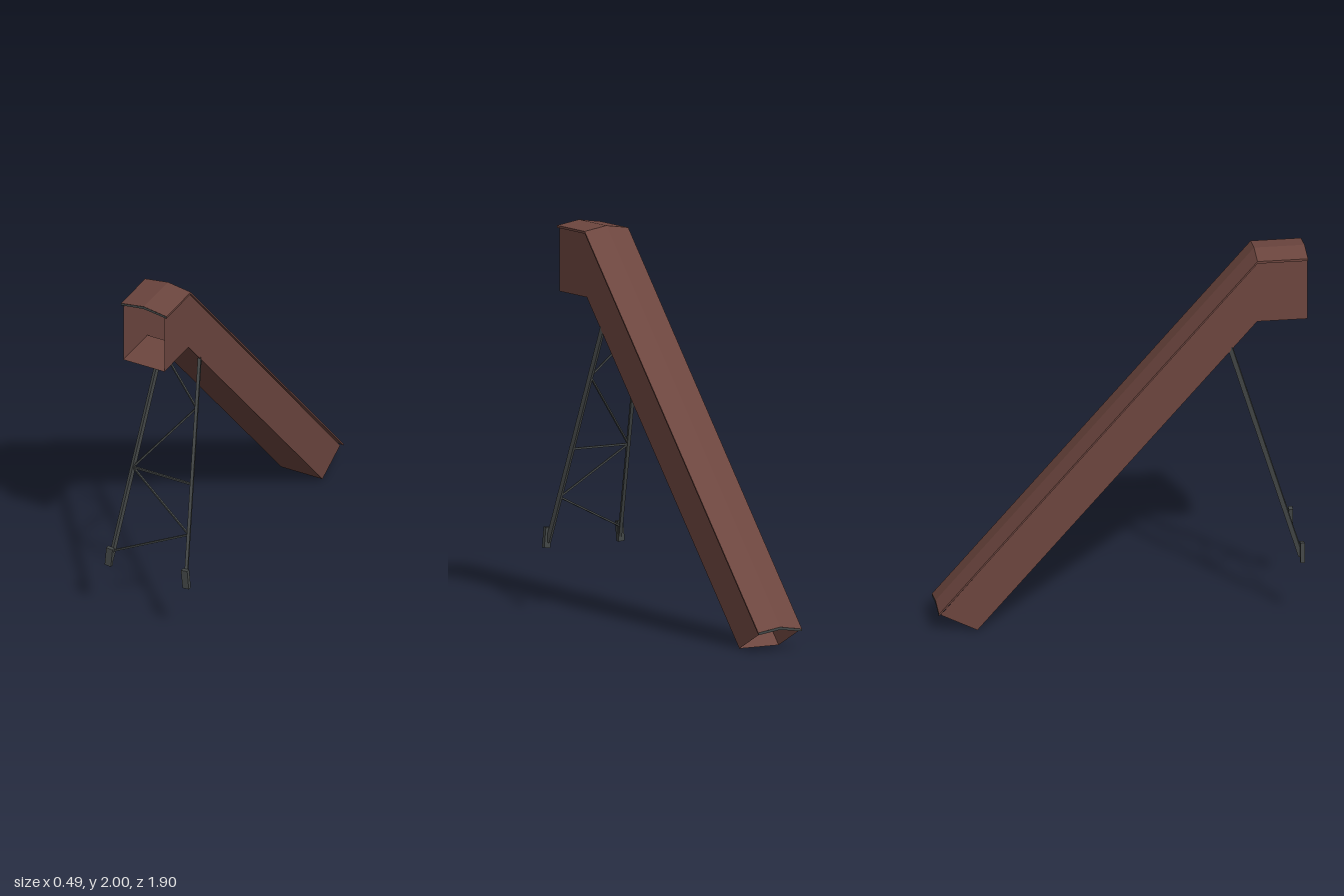
import * as THREE from 'three';

const brown = new THREE.MeshStandardMaterial({ color: 0x6d463f, side: THREE.DoubleSide, flatShading: true });
brown.name = 'rust brown cladding';
const steel = new THREE.MeshStandardMaterial({ color: 0x434747, side: THREE.DoubleSide, flatShading: true });
steel.name = 'dark grey steel';

// Sheet joining successive sections, each a list of [x, y, z]
function loft(sections) {
  const pos = [], index = [], n = sections[0].length;
  sections.forEach(s => s.forEach(p => pos.push(...p)));
  for (let i = 0; i < sections.length - 1; i++) {
    for (let j = 0; j < n - 1; j++) {
      const a = i * n + j, b = a + 1, c = a + n, d = c + 1;
      index.push(a, c, b, b, c, d);
    }
  }
  const g = new THREE.BufferGeometry();
  g.setAttribute('position', new THREE.Float32BufferAttribute(pos, 3));
  g.setIndex(index);
  const flat = g.toNonIndexed();
  flat.computeVertexNormals();
  return flat;
}

function add(parent, name, geometry, material) {
  const m = new THREE.Mesh(geometry, material);
  m.name = name;
  parent.add(m);
  return m;
}

// Square bar from a to b
function bar(parent, name, a, b, w, d = w) {
  const m = add(parent, name, new THREE.BoxGeometry(w, d, a.distanceTo(b)), steel);
  m.position.copy(a).lerp(b, 0.5);
  m.lookAt(b);
  return m;
}

export function createModel() {
  const model = new THREE.Group();
  model.name = 'inclinedGallery';

  // Hollow gallery, open at both ends
  const gallery = new THREE.Group();
  gallery.name = 'gallery';
  model.add(gallery);
  const W = 0.119;
  const profile = [[0.95, 1.64], [0.69, 1.64], [-0.75, 0.004], [-0.94, 0.1], [0.69, 1.97], [0.95, 1.97]];
  const wallShape = new THREE.Shape(profile.map(([z, y]) => new THREE.Vector2(-z, y)));
  for (const s of [-1, 1]) {
    const wall = add(gallery, s > 0 ? 'leftWall' : 'rightWall', new THREE.ShapeGeometry(wallShape), brown);
    wall.rotation.y = Math.PI / 2;
    wall.position.x = s * W;
  }
  add(gallery, 'floor', loft(profile.slice(0, 3).map(([z, y]) => [[-W, y, z], [W, y, z]])), brown);

  // Shallow gabled roof following the bend
  const E = 0.132;
  const section = [[-E, -0.032], [-E, -0.02], [0, 0], [E, -0.02], [E, -0.032], [0, -0.014], [-E, -0.032]];
  const spine = [[0.95, 2], [0.69, 2], [-0.95, 0.13]];
  add(gallery, 'roof', loft(spine.map(([z, y]) => section.map(([x, dy]) => [x, y + dy, z]))), brown);

  // Grey trim on the roof ends
  const trim = new THREE.Shape(section.slice(0, 6).map(p => new THREE.Vector2(...p)));
  const front = add(gallery, 'frontRoofTrim', new THREE.ShapeGeometry(trim), steel);
  front.position.set(0, 2, 0.9505);
  const back = add(gallery, 'backRoofTrim', new THREE.ShapeGeometry(trim), steel);
  back.position.set(0, 0.13, -0.9505);

  // Trestle: splayed legs with feet
  const trestle = new THREE.Group();
  trestle.name = 'trestle';
  model.add(trestle);
  const onLeg = (s, y) => {
    const t = (1.5 - y) / 1.15;
    return new THREE.Vector3(s * (0.11 + 0.108 * t), y, 0.552 + 0.353 * t);
  };
  for (const s of [-1, 1]) {
    const side = s > 0 ? 'left' : 'right';
    bar(trestle, side + 'Leg', onLeg(s, 0.36), onLeg(s, 1.5), 0.016, 0.024);
    const foot = add(trestle, side + 'Foot', new THREE.BoxGeometry(0.036, 0.106, 0.022), steel);
    foot.position.set(s * 0.221, 0.385, 0.908);
    foot.rotation.z = s * 0.09;
  }

  // Zigzag bracing between the legs
  const nodes = [[-1, 1.49], [1, 1.24], [-1, 0.855], [1, 0.6], [-1, 0.41]];
  for (let i = 0; i < nodes.length - 1; i++) {
    bar(trestle, 'diagonalBrace', onLeg(...nodes[i]), onLeg(...nodes[i + 1]), 0.009);
  }
  bar(trestle, 'crossBrace', onLeg(-1, 0.855), onLeg(1, 0.855), 0.01);

  return model;
}
